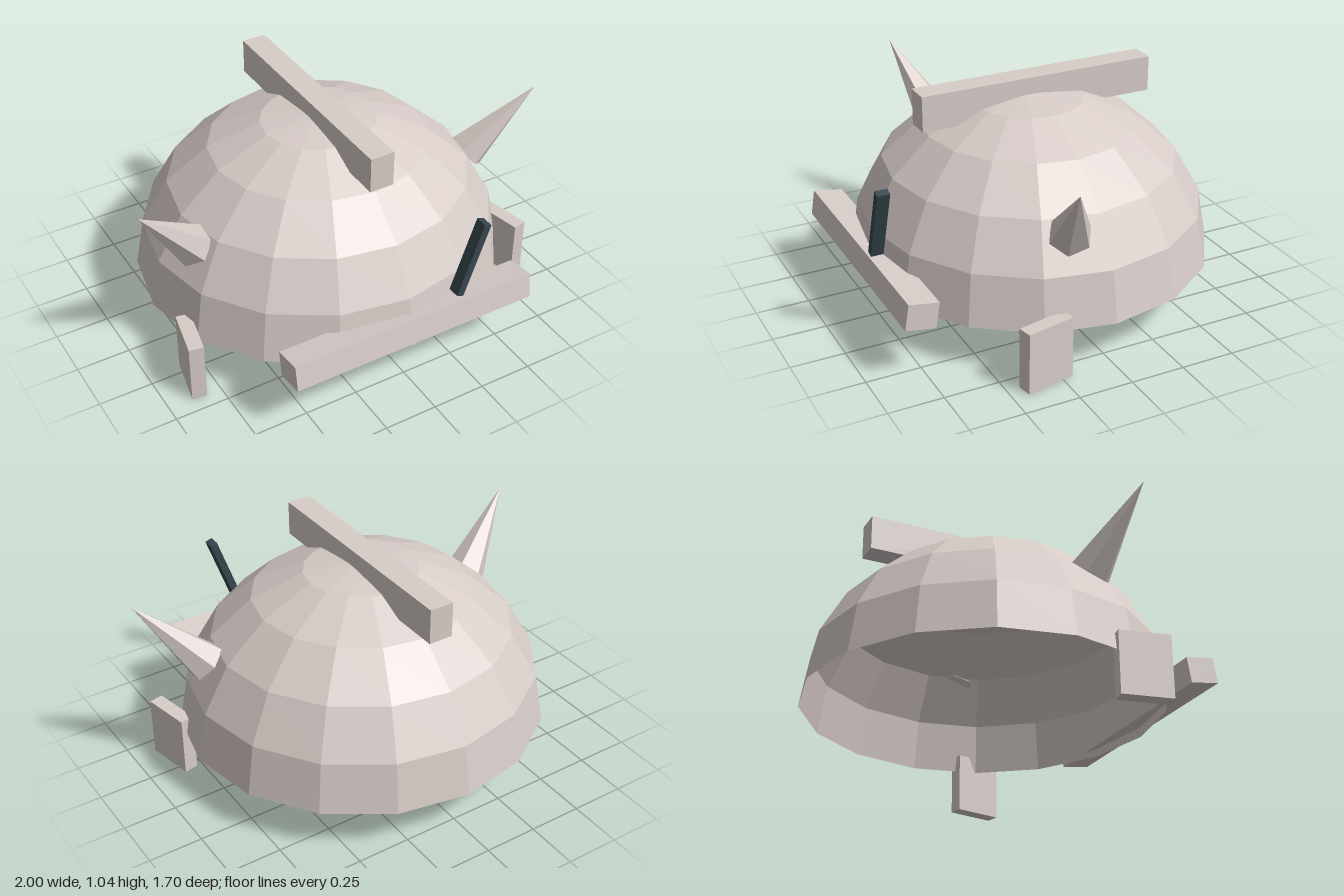
import * as THREE from 'three';

export function createModel() {
  const model = new THREE.Group();
  model.name = 'hornedHelmet';

  const bone = new THREE.MeshStandardMaterial({ color: 0xd7ccc8, flatShading: true, side: THREE.DoubleSide });
  bone.name = 'paleBone';
  const slate = new THREE.MeshStandardMaterial({ color: 0x37474f, flatShading: true });
  slate.name = 'darkSlate';

  function add(name, geometry, material, x, y, z) {
    const mesh = new THREE.Mesh(geometry, material);
    mesh.name = name;
    mesh.position.set(x, y, z);
    model.add(mesh);
    return mesh;
  }

  // Open faceted dome, slightly flatter at the front
  const domeGeometry = new THREE.SphereGeometry(1, 16, 5, 0, Math.PI * 2, 0, Math.PI / 2);
  domeGeometry.scale(0.86, 0.76, 0.85);
  const p = domeGeometry.attributes.position;
  for (let i = 0; i < p.count; i++) {
    if (p.getZ(i) > 0) p.setZ(i, p.getZ(i) * 0.952);
  }
  domeGeometry.computeVertexNormals();
  add('dome', domeGeometry, bone, 0, 0.21, 0);

  // Straight ridge running front to back
  add('crest', new THREE.BoxGeometry(0.114, 0.165, 1.13), bone, 0, 0.957, -0.04);

  // Brow bar, tipped up at the front
  const brow = add('browBar', new THREE.BoxGeometry(1.194, 0.12, 0.14), bone, 0, 0.31, 0.772);
  brow.rotation.x = -0.16;

  // Slanted dark mark standing off the front
  const mark = add('scar', new THREE.BoxGeometry(0.035, 0.357, 0.057), slate, 0.265, 0.6, 0.821);
  mark.rotation.z = -0.336;

  // Mirrored horns and cheek guards
  const up = new THREE.Vector3(0, 1, 0);
  for (const side of [1, -1]) {
    const label = side > 0 ? 'left' : 'right';

    const base = new THREE.Vector3(side * 0.715, 0.6, 0.153);
    const tip = new THREE.Vector3(side * 0.998, 0.925, 0.265);
    const axis = tip.clone().sub(base);
    const length = axis.length();
    const cone = new THREE.ConeGeometry(0.096, length, 6).translate(0, length / 2, 0);
    const horn = add(label + 'Horn', cone, bone, base.x, base.y, base.z);
    horn.quaternion.setFromUnitVectors(up, axis.normalize());

    const cheek = add(label + 'CheekGuard', new THREE.BoxGeometry(0.067, 0.286, 0.231), bone, side * 0.833, 0.143, 0.32);
    cheek.rotation.y = side * 0.2;
  }

  return model;
}
